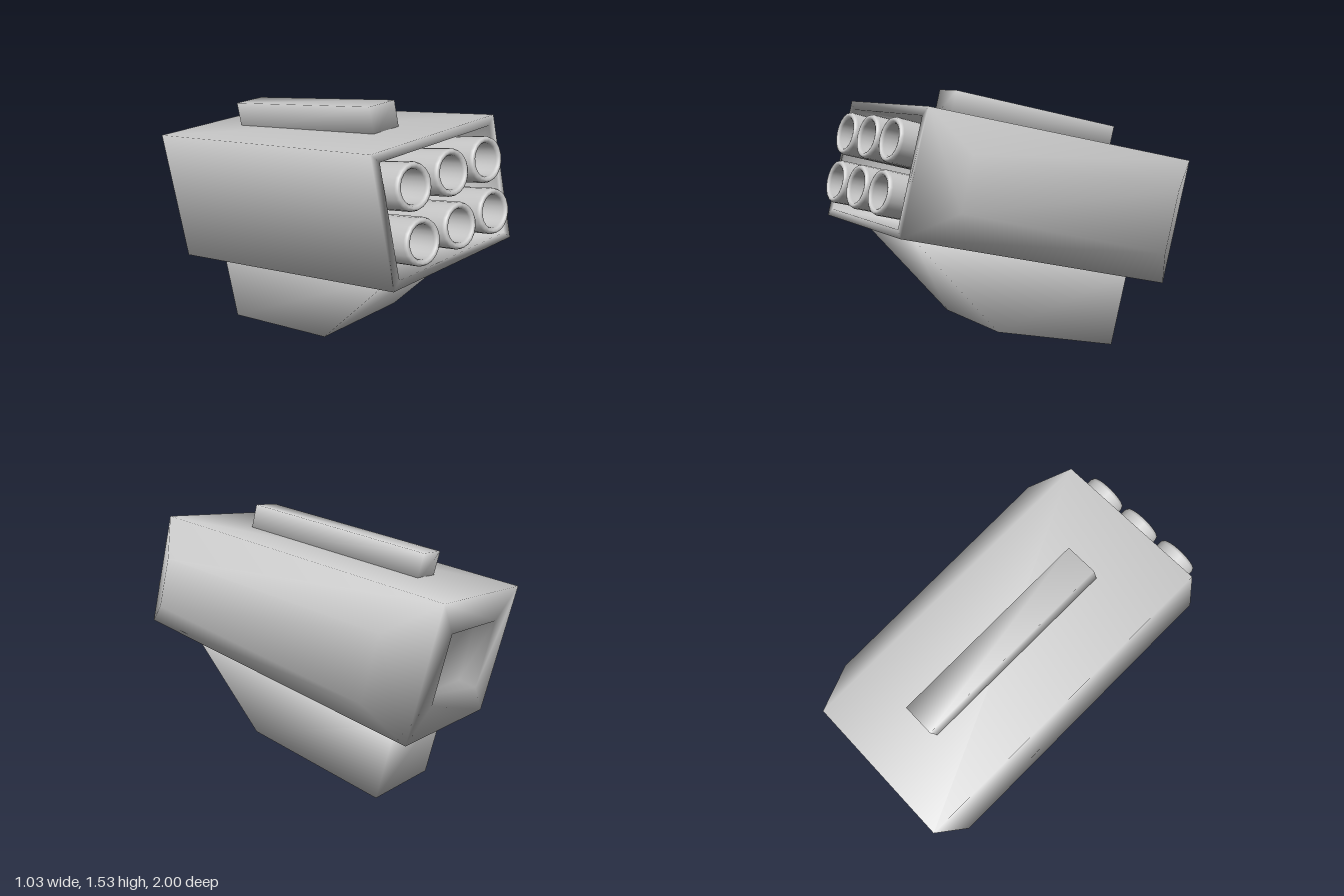
import * as THREE from 'three';

const material = new THREE.MeshStandardMaterial({ color: 0xcccccc });

// Rectangular cross-section; its bottom and top edges may lie at different depths
function ring(x0, x1, y0, y1, zBottom, zTop = zBottom) {
  return [[x0, y0, zBottom], [x1, y0, zBottom], [x1, y1, zTop], [x0, y1, zTop]];
}

// Joins rings from front to back, with shared corners for soft shading.
// panel = { at, ring }: raises the left (+x) wall after ring number "at" to another outline.
function loft(name, rings, panel) {
  const points = rings.flat();
  const index = [];
  const quad = (a, b, c, d) => index.push(a, b, c, a, c, d);
  quad(0, 1, 2, 3);
  for (let r = 0; r < rings.length - 1; r++) {
    const a = r * 4, b = a + 4;
    for (let i = 0; i < 4; i++) {
      const j = (i + 1) % 4;
      if (panel && panel.at === r && i === 1) {
        const base = [a + 1, b + 1, b + 2, a + 2];
        const o = points.length;
        points.push(...panel.ring);
        for (let k = 0; k < 4; k++) {
          const n = (k + 1) % 4;
          quad(base[k], base[n], o + n, o + k);
        }
        quad(o, o + 1, o + 2, o + 3);
      } else {
        quad(a + i, b + i, b + j, a + j);
      }
    }
  }
  const e = (rings.length - 1) * 4;
  quad(e + 3, e + 2, e + 1, e);

  const geometry = new THREE.BufferGeometry();
  geometry.setAttribute('position', new THREE.Float32BufferAttribute(points.flat(), 3));
  geometry.setIndex(index);
  geometry.computeVertexNormals();
  const mesh = new THREE.Mesh(geometry, material);
  mesh.name = name;
  return mesh;
}

export function createModel() {
  const model = new THREE.Group();
  model.name = 'rocketLauncher';

  // Everything is built level and then pitched upward
  const launcher = new THREE.Group();
  launcher.name = 'pitchedLauncher';
  launcher.rotation.x = -THREE.MathUtils.degToRad(15);
  model.add(launcher);

  // Housing: front recess, rim, outer shell, rear rim and rear recess
  launcher.add(loft('housing', [
    ring(-0.47, 0.3, 0.617, 1.176, 0.65),
    ring(-0.47, 0.3, 0.617, 1.176, 1.137),
    ring(-0.518, 0.345, 0.577, 1.223, 1.137),
    ring(-0.518, 0.345, 0.577, 1.331, -0.676),
    ring(-0.338, 0.165, 0.757, 1.151, -0.676),
    ring(-0.338, 0.165, 0.757, 1.151, -0.57),
  ], {
    at: 2, // raised side panel
    ring: [[0.515, 0.757, 0.94], [0.515, 0.757, -0.465],
      [0.515, 1.125, -0.465], [0.515, 1.042, 0.94]],
  }));

  // Rail on the roof
  launcher.add(loft('topRail', [
    ring(-0.175, 0.003, 1.22, 1.379, 0.803),
    ring(-0.175, 0.003, 1.27, 1.444, -0.332),
  ]));

  // Mount below, with a sloping front
  launcher.add(loft('mount', [
    ring(-0.36, 0.188, 0.15, 0.58, 0.336, 0.985),
    ring(-0.36, 0.188, 0.145, 0.58, -0.52),
  ]));

  // Six open launch tubes with softly rounded muzzles
  const profile = [
    [0.115, 0.65], [0.115, 1.195], [0.109, 1.21], [0.1, 1.214],
    [0.089, 1.21], [0.082, 1.198], [0.082, 0.8], [0, 0.8],
  ].map(([r, y]) => new THREE.Vector2(r, y));
  const tubeGeometry = new THREE.LatheGeometry(profile, 20).rotateX(Math.PI / 2);
  const tubes = new THREE.Group();
  tubes.name = 'launchTubes';
  for (const y of [0.773, 1.035]) {
    for (const x of [-0.35, -0.09, 0.165]) {
      const tube = new THREE.Mesh(tubeGeometry, material);
      tube.name = 'launchTube';
      tube.position.set(x, y, 0);
      tubes.add(tube);
    }
  }
  launcher.add(tubes);

  return model;
}
